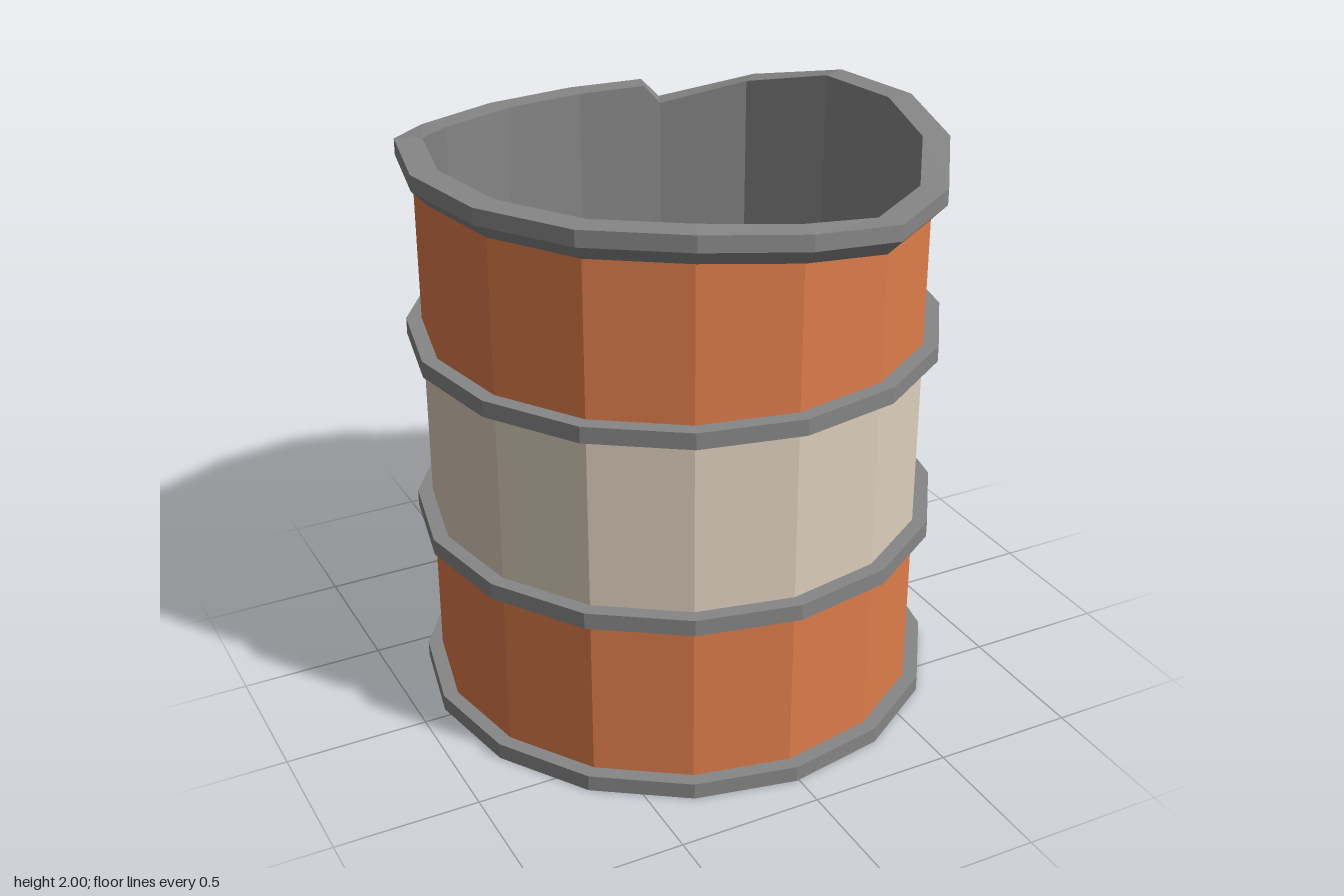
import * as THREE from 'three';

const SIDES = 16;
const CENTER_Z = -0.03;
const TWIST = -0.01;

// Each station is one corner of the drum: dents (fraction of radius) low and at the rim,
// plus the rim heights: top, lip underside and top of the painted shell.
function makeStations() {
  const tops = [1.965, 1.91, 1.91, 1.965, 2, 2, 1.93, 1.85, 1.91, 1.915, 1.93, 2, 2, 2, 2, 2];
  const list = tops.map((top, k) => {
    const a = (k / SIDES) * Math.PI * 2 + TWIST;
    const low = k === 7 || k === 8 ? 0.062 : 0;
    return {
      x: Math.sin(a) * (1 - low), z: Math.cos(a) * (1 - low),
      pinch: k === 9 ? 0.048 : 0, top, under: top - 0.055, shell: top - 0.11,
    };
  });
  // Torn notch at the back: a pinched corner followed by a sharp step
  Object.assign(list[7], { under: 1.83, shell: 1.78 });
  const [p, q] = [list[7], list[8]];
  list.splice(8, 0, {
    x: p.x + (q.x - p.x) * 0.2, z: p.z + (q.z - p.z) * 0.2,
    pinch: 0, top: 1.92, under: 1.84, shell: 1.785,
  });
  return list;
}

const stations = makeStations();

// Skin a profile of [radius, height] rows around the stations;
// a height may be a number or the name of a rim height
function loft(name, material, rows) {
  const point = (row, s) => {
    const [r, h] = row;
    const atRim = typeof h === 'string';
    const k = r * (atRim ? 1 - s.pinch : 1);
    return [s.x * k, atRim ? s[h] : h, s.z * k + CENTER_Z];
  };
  const pos = [];
  for (let i = 0; i < rows.length - 1; i++) {
    for (let j = 0; j < stations.length; j++) {
      const s = stations[j], t = stations[(j + 1) % stations.length];
      const a = point(rows[i], s), b = point(rows[i], t);
      const c = point(rows[i + 1], t), d = point(rows[i + 1], s);
      if (rows[i][0] > 0) pos.push(...a, ...b, ...c);
      if (rows[i + 1][0] > 0) pos.push(...a, ...c, ...d);
    }
  }
  const geo = new THREE.BufferGeometry();
  geo.setAttribute('position', new THREE.Float32BufferAttribute(pos, 3));
  geo.computeVertexNormals();
  const mesh = new THREE.Mesh(geo, material);
  mesh.name = name;
  return mesh;
}

function paint(name, color) {
  const m = new THREE.MeshStandardMaterial({ color });
  m.name = name;
  return m;
}

export function createModel() {
  const orange = paint('orangePaint', 0xdd7c4b);
  const cream = paint('creamPaint', 0xdccebb);
  const steel = paint('greySteel', 0x868686);

  const drum = new THREE.Group();
  drum.name = 'drum';

  // Painted shell in three bands
  drum.add(loft('lowerShell', orange, [[0.86, 0.02], [0.86, 0.67]]));
  drum.add(loft('middleShell', cream, [[0.86, 0.67], [0.86, 1.34]]));
  drum.add(loft('upperShell', orange, [[0.86, 1.34], [0.86, 'shell']]));

  // Underside
  drum.add(loft('base', cream, [[0, 0], [0.865, 0]]));

  // Hoops
  [['bottomHoop', 0, 0.057], ['lowerHoop', 0.64, 0.697], ['upperHoop', 1.307, 1.364]]
    .forEach(([name, y0, y1]) => drum.add(
      loft(name, steel, [[0.86, y0], [0.912, y0], [0.912, y1], [0.86, y1]])));

  // Bent rim with chamfered underside
  drum.add(loft('rim', steel, [[0.86, 'shell'], [0.912, 'under'], [0.912, 'top'], [0.82, 'top']]));

  // Hollow inside and floor
  drum.add(loft('innerWall', steel, [[0.82, 'top'], [0.82, 0.06], [0, 0.06]]));

  return drum;
}
